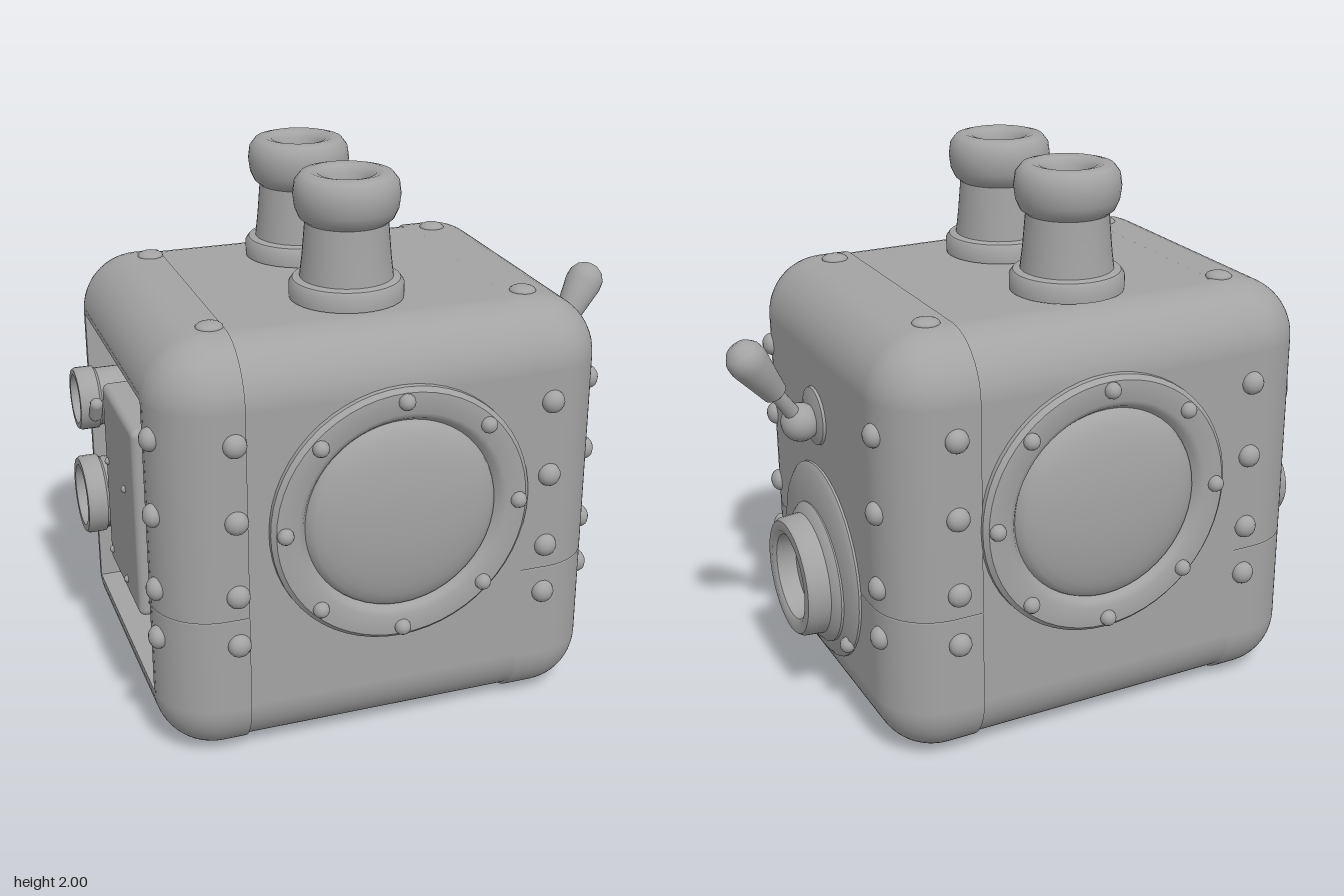
import * as THREE from 'three';
import { toCreasedNormals } from 'three/addons/utils/BufferGeometryUtils.js';
import { RoundedBoxGeometry } from 'three/addons/geometries/RoundedBoxGeometry.js';

const HX = 0.82, HZ = 0.668, TOP = 1.555, BASE = 0.005, MID = (TOP + BASE) / 2, R = 0.215;
const metal = new THREE.MeshStandardMaterial({ color: 0xa3a3a3 });
metal.name = 'grey metal';

function add(parent, name, geometry, x = 0, y = 0, z = 0) {
  const mesh = new THREE.Mesh(geometry, metal);
  mesh.name = name;
  mesh.position.set(x, y, z);
  parent.add(mesh);
  return mesh;
}

function lathe(points, segments = 40) {
  const g = new THREE.LatheGeometry(points.map(([r, y]) => new THREE.Vector2(r, y)), segments);
  return toCreasedNormals(g, 0.7);
}

// Rounded hull cut flat at the given limits; open drops the flat -x face
function hullPiece(inset, xMin, xMax, yMin, yMax, open = false) {
  const hx = HX - inset;
  const g = new RoundedBoxGeometry(2 * hx, TOP - BASE - 2 * inset, 2 * (HZ - inset), 7, R);
  const p = g.attributes.position;
  g.translate(0, MID, 0);
  const kept = [];
  for (let i = 0; i < p.count; i += 3) {
    const flat = [0, 1, 2].every((k) => p.getX(i + k) < -hx + 1e-4);
    if (!(open && flat)) kept.push(i, i + 1, i + 2);
  }
  for (let i = 0; i < p.count; i++) {
    p.setX(i, THREE.MathUtils.clamp(p.getX(i), xMin, xMax));
    p.setY(i, THREE.MathUtils.clamp(p.getY(i), yMin, yMax));
  }
  g.clearGroups();
  g.setIndex(kept);
  return g;
}

function buildHull(parent) {
  add(parent, 'body', hullPiece(0.006, -0.68, 1, 0, 2));
  for (const [x0, x1] of [[-1, -0.52], [0.5, 1]]) {
    add(parent, 'upperEndCap', hullPiece(0, x0, x1, 0.578, 2, x0 < 0));
    add(parent, 'lowerEndCap', hullPiece(0, x0, x1, 0, 0.572, x0 < 0));
  }
  add(parent, 'bottomDisc', new THREE.CylinderGeometry(0.4, 0.4, 0.009, 40), 0, 0.0085, 0);
}

function buildRivets(parent) {
  const rivet = new THREE.SphereGeometry(0.042, 14, 10);
  for (const y of [1.23, 0.95, 0.67, 0.48]) {
    for (const s of [-1, 1]) {
      for (const x of [-0.56, 0.59]) {
        add(parent, 'sideRivet', rivet, x, y, s * (HZ + 0.003)).scale.z = 0.85;
      }
      add(parent, 'endRivet', rivet, HX - 0.006, y, s * 0.5).scale.x = 0.8;
    }
    add(parent, 'endRivet', rivet, -HX + 0.008, y, 0.52).scale.x = 0.8;
  }
  for (const x of [-0.565, 0.58]) for (const z of [-0.42, 0.41]) {
    add(parent, 'topRivet', rivet, x, TOP, z).scale.set(1.15, 0.45, 1.15);
  }
}

// Round domed window with a riveted flange, built along +y and turned to a side
function buildWindow(parent, side) {
  const w = new THREE.Group();
  w.name = 'porthole';
  add(w, 'flange', lathe([[0.478, -0.03], [0.476, 0.012], [0.46, 0.028], [0.385, 0.032], [0.365, 0.02], [0.345, -0.01]], 56));
  const dome = [];
  for (let i = 0; i <= 8; i++) {
    const a = (i / 8) * Math.PI / 2;
    dome.push([0.352 * Math.cos(a), 0.085 * Math.sin(a) - 0.005]);
  }
  add(w, 'dome', lathe(dome, 48));
  const bolt = new THREE.SphereGeometry(0.03, 12, 8);
  for (let i = 0; i < 8; i++) {
    const a = i * Math.PI / 4;
    add(w, 'flangeBolt', bolt, 0.43 * Math.cos(a), 0.034, 0.43 * Math.sin(a));
  }
  w.position.set(0.03, 0.887, side * HZ);
  w.rotation.x = side * Math.PI / 2;
  parent.add(w);
}

function buildChimney(parent, x, z) {
  add(parent, 'chimney', lathe([
    [0.203, 0], [0.203, 0.05], [0.19, 0.068], [0.165, 0.074], [0.156, 0.15], [0.146, 0.27],
    [0.165, 0.285], [0.181, 0.32], [0.187, 0.365], [0.181, 0.41], [0.16, 0.437], [0.13, 0.445],
    [0.1, 0.437], [0.082, 0.415], [0.075, 0.36], [0, 0.35],
  ]), x, TOP, z);
}

// Recessed control bay on the -x end
function buildBay(parent) {
  const bay = new THREE.Group();
  bay.name = 'controlBay';
  parent.add(bay);
  const hy = (TOP - BASE) / 2 - R, hz = HZ - R, depth = 0.135, cx = -HX + depth / 2 + 0.001;
  add(bay, 'bayFloor', new THREE.BoxGeometry(0.02, 2 * hy, 2 * hz), -0.69, MID, 0);
  for (const s of [-1, 1]) {
    add(bay, 'bayWall', new THREE.BoxGeometry(depth, 2 * hy, 0.02), cx, MID, s * (hz + 0.01));
    add(bay, 'bayWall', new THREE.BoxGeometry(depth, 0.02, 2 * hz), cx, MID + s * (hy + 0.01), 0);
  }
  // Raised panel with small screws
  add(bay, 'panel', new RoundedBoxGeometry(0.16, 0.71, 0.48, 4, 0.025), -0.77, 0.865, 0.19);
  for (const [y, z] of [[0.93, 0], [0.94, 0.27], [0.57, 0.24], [0.57, 0]]) {
    add(bay, 'screw', new THREE.SphereGeometry(0.014, 8, 6), -0.85, y, z);
  }
  // Two open pipes
  for (const [y, r] of [[0.66, 0.15], [1.06, 0.118]]) {
    add(bay, 'pipe', lathe([
      [r * 0.92, 0], [r * 0.92, 0.13], [r, 0.14], [r, 0.2], [r * 0.95, 0.212],
      [r * 0.78, 0.212], [r * 0.73, 0.2], [r * 0.7, 0.1], [0, 0.1],
    ], 32), -0.69, y, -0.31).rotation.z = Math.PI / 2;
  }
  add(bay, 'pipeTap', new THREE.CapsuleGeometry(0.025, 0.06, 4, 10), -0.85, 1.06, -0.18).rotation.x = 0.5;
  // Vent bars and the short pipe above the panel
  for (const z of [-0.24, -0.15, -0.075]) {
    add(bay, 'ventBar', new THREE.CapsuleGeometry(0.028, 0.22, 4, 10), -0.7, 0.365, z);
  }
  add(bay, 'crossPipe', new THREE.CapsuleGeometry(0.035, 0.38, 4, 10), -0.73, 1.265, 0.17).rotation.x = Math.PI / 2;
}

// Nozzle and lever on the +x end
function buildNozzle(parent) {
  add(parent, 'nozzleFlange', lathe([[0.37, -0.03], [0.365, 0.008], [0.345, 0.022], [0.2, 0.032]], 48),
    HX, 0.55, 0.015).rotation.z = -Math.PI / 2;
  add(parent, 'nozzle', lathe([
    [0.265, 0], [0.262, 0.035], [0.245, 0.05], [0.225, 0.06], [0.22, 0.125], [0.21, 0.14],
    [0.175, 0.142], [0.158, 0.13], [0.145, 0.06], [0, 0.055],
  ], 40), HX, 0.505, 0.015).rotation.z = -Math.PI / 2;
  add(parent, 'nozzleCatch', new THREE.SphereGeometry(0.03, 10, 8), HX + 0.02, 0.33, -0.25);
}

function buildLever(parent) {
  add(parent, 'leverMount', lathe([[0.11, -0.01], [0.105, 0.01], [0.07, 0.02], [0, 0.025]], 28),
    HX, 1.11, 0.03).rotation.z = -Math.PI / 2;
  add(parent, 'leverBall', new THREE.SphereGeometry(0.07, 20, 14), 0.88, 1.1, 0.02);
  const lever = new THREE.Group();
  lever.name = 'lever';
  lever.position.set(0.88, 1.1, 0.02);
  lever.quaternion.setFromUnitVectors(new THREE.Vector3(0, 1, 0), new THREE.Vector3(0.205, 0.295, -0.08).normalize());
  add(lever, 'leverArm', new THREE.CylinderGeometry(0.025, 0.03, 0.22, 14), 0, 0.11, 0);
  add(lever, 'leverHandle', lathe([
    [0, 0.165], [0.03, 0.167], [0.045, 0.18], [0.057, 0.26], [0.071, 0.35],
    [0.068, 0.385], [0.052, 0.412], [0.025, 0.428], [0, 0.432],
  ], 24));
  parent.add(lever);
}

export function createModel() {
  const root = new THREE.Group();
  root.name = 'boilerBox';
  const machine = new THREE.Group();
  machine.name = 'machine';
  machine.rotation.y = THREE.MathUtils.degToRad(38);
  root.add(machine);
  buildHull(machine);
  buildRivets(machine);
  for (const side of [-1, 1]) buildWindow(machine, side);
  buildBay(machine);
  buildNozzle(machine);
  buildLever(machine);
  buildChimney(root, -0.19, -0.21);
  buildChimney(root, 0.135, 0.21);
  return root;
}
